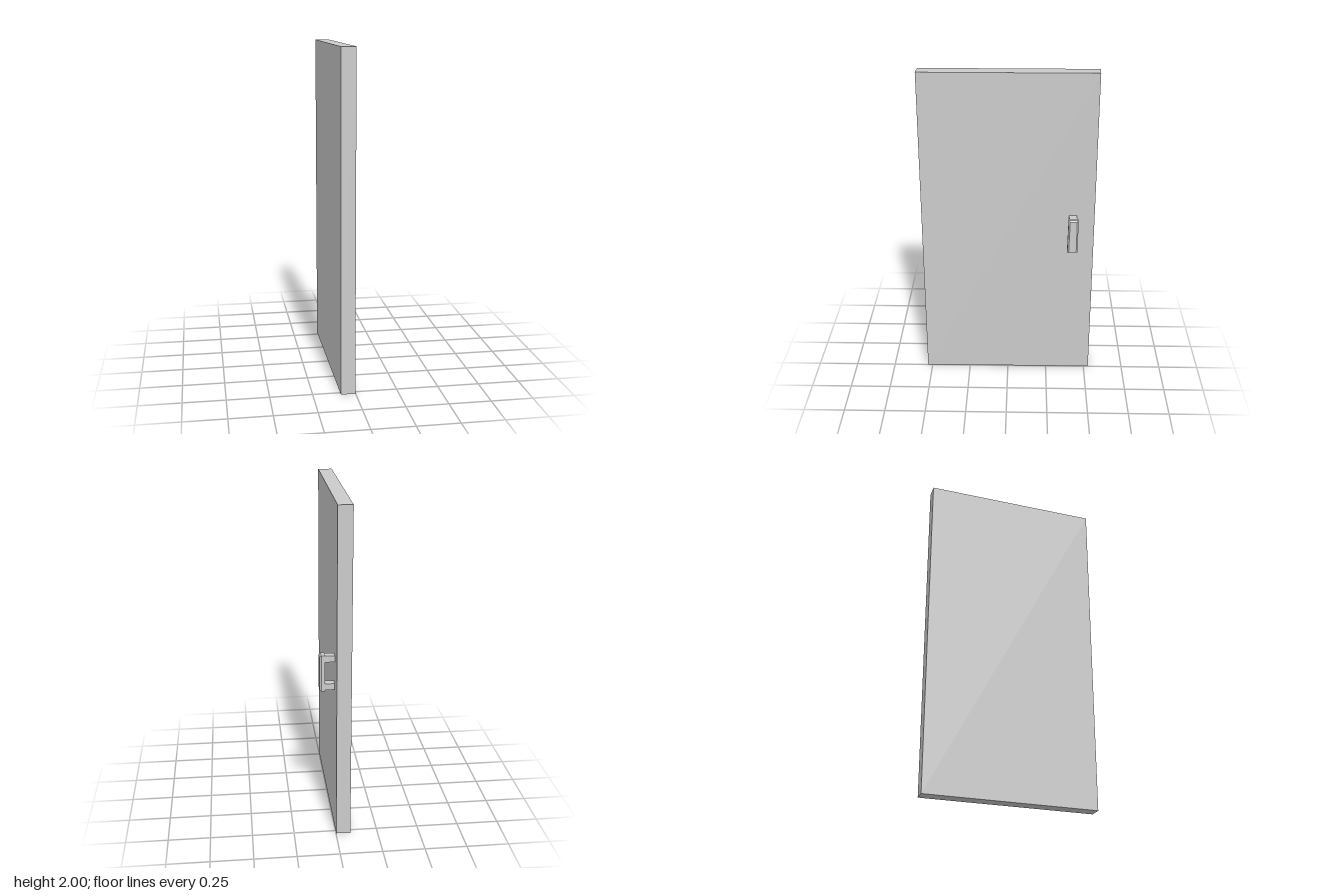
import * as THREE from 'three';

const material = new THREE.MeshStandardMaterial({ color: 0xcccccc, flatShading: true });

// Box given by its lower and upper corners
function box(name, [x0, y0, z0], [x1, y1, z1], widthSegments = 1) {
  const geometry = new THREE.BoxGeometry(x1 - x0, y1 - y0, z1 - z0, widthSegments, 1, 1);
  geometry.translate((x0 + x1) / 2, (y0 + y1) / 2, (z0 + z1) / 2);
  const mesh = new THREE.Mesh(geometry, material);
  mesh.name = name;
  return mesh;
}

// Move every vertex by a rule
function reshape(mesh, rule) {
  const p = mesh.geometry.attributes.position;
  const v = new THREE.Vector3();
  for (let i = 0; i < p.count; i++) {
    rule(v.fromBufferAttribute(p, i));
    p.setXYZ(i, v.x, v.y, v.z);
  }
  mesh.geometry.computeVertexNormals();
  return mesh;
}

export function createModel() {
  const door = new THREE.Group();
  door.name = 'door';

  // Door leaf, its two narrow edges very slightly skewed
  const leaf = box('doorLeaf', [-0.087, 0, -0.53], [-0.002, 2, 0.53]);
  door.add(reshape(leaf, (v) => { v.z += 0.04 * v.x; }));

  const handle = new THREE.Group();
  handle.name = 'handle';
  door.add(handle);

  // Two posts that hold the grip off the leaf
  for (const [name, y] of [['upperPost', 1.087], ['lowerPost', 0.915]]) {
    handle.add(box(name, [-0.004, y - 0.019, -0.422], [0.06, y + 0.019, -0.374]));
  }

  // Grip bar: outer face chamfered all round, lower end a touch wider
  const y = 1, z = -0.399;
  const grip = box('grip', [0.054, 0.89, -0.429], [0.086, 1.11, -0.369], 2);
  handle.add(reshape(grip, (v) => {
    if (v.x > 0.08) {
      v.y -= 0.008 * Math.sign(v.y - y);
      v.z -= 0.009 * Math.sign(v.z - z);
    } else if (v.x > 0.06) {
      v.x = 0.076;
    }
    if (v.y < y && v.z > z) v.z += 0.004;
  }));

  return door;
}
